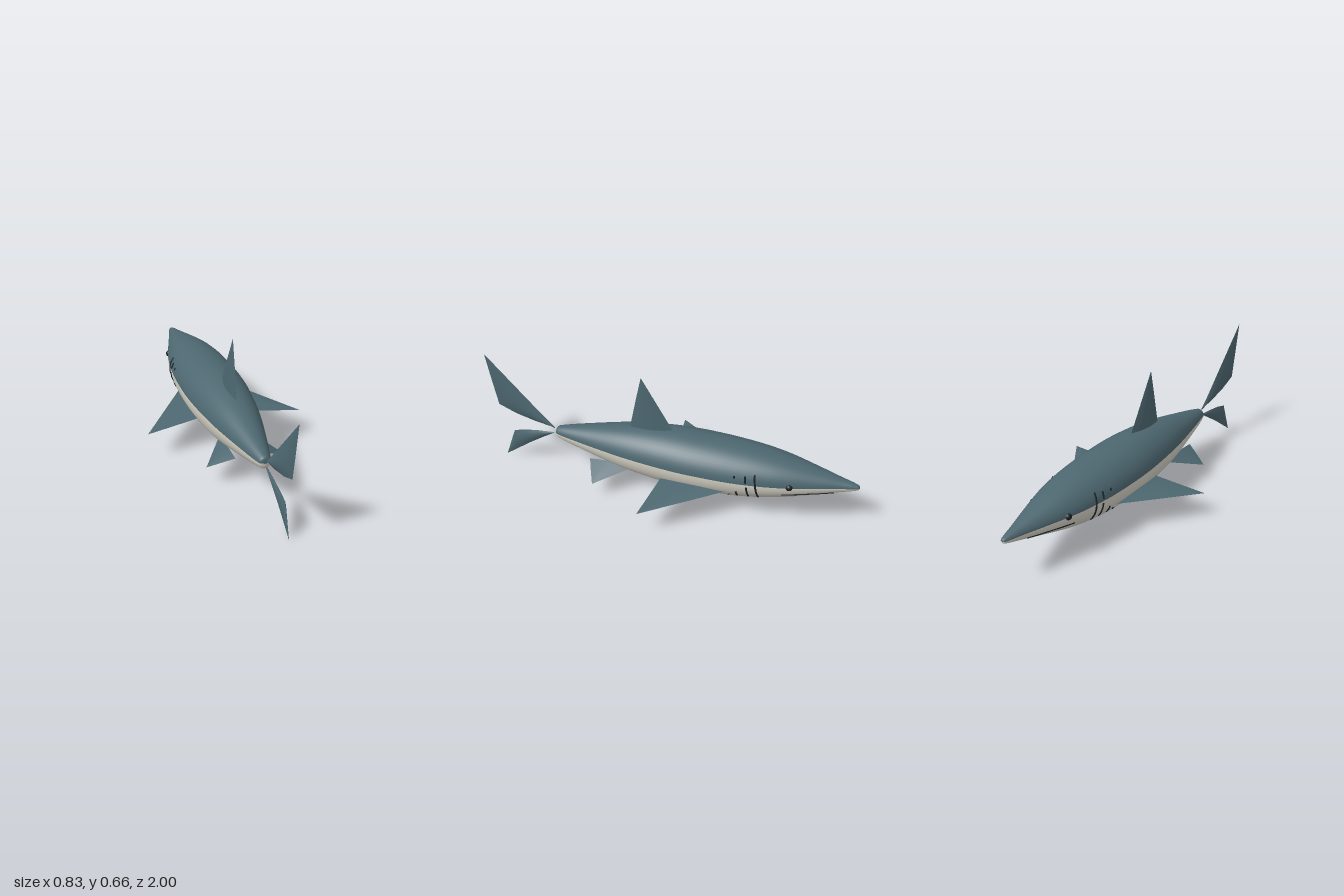
import * as THREE from 'three';

const slate = new THREE.MeshStandardMaterial({ color: 0x4d6770, side: THREE.DoubleSide });
slate.name = 'slate back';
const cream = new THREE.MeshStandardMaterial({ color: 0xd0cdc0 });
cream.name = 'pale belly';
const dark = new THREE.MeshStandardMaterial({ color: 0x1a2226 });
dark.name = 'dark detail';

const V = (x, y, z) => new THREE.Vector3(x, y, z);

// Body profile from nose to tail: z, half width, half height
const profile = new THREE.CatmullRomCurve3([
  [-1, 0.001, 0.001], [-0.995, 0.012, 0.011], [-0.97, 0.022, 0.02], [-0.9, 0.042, 0.038],
  [-0.8, 0.074, 0.064], [-0.6, 0.13, 0.112], [-0.4, 0.158, 0.14], [-0.15, 0.165, 0.15],
  [0, 0.155, 0.146], [0.2, 0.128, 0.124], [0.4, 0.085, 0.083], [0.59, 0.036, 0.037],
  [0.612, 0.026, 0.028], [0.62, 0.001, 0.001],
].map(p => V(...p)), false, 'centripetal');
const rings = profile.getPoints(91);
const midY = z => 0.225 + 0.015 * Math.max(0, (-z - 0.4) / 0.6);

// Point on the side of the body at a given height
function onSkin(side, y, z) {
  const i = Math.max(1, rings.findIndex(r => r.x >= z));
  const a = rings[i - 1], b = rings[i];
  const r = a.clone().lerp(b, (z - a.x) / (b.x - a.x));
  const s = Math.min(1, Math.abs(y - midY(z)) / r.z);
  return V(side * r.y * Math.sqrt(1 - s * s), y, z);
}

// Body loft: the two colours meet just above the mid line
function bodyGeometry() {
  const half = 24, n = half * 2, a0 = 0.09;
  const pos = [], upper = [], lower = [];
  for (const r of rings) {
    for (let j = 0; j < n; j++) {
      const t = j < half
        ? a0 + (j / half) * (Math.PI - 2 * a0)
        : Math.PI - a0 + ((j - half) / half) * (Math.PI + 2 * a0);
      pos.push(r.y * Math.cos(t), midY(r.x) + r.z * Math.sin(t), r.x);
    }
  }
  for (let i = 0; i < rings.length - 1; i++) {
    for (let j = 0; j < n; j++) {
      const a = i * n + j, b = i * n + (j + 1) % n;
      (j < half ? upper : lower).push(a, b, a + n, b, b + n, a + n);
    }
  }
  const g = new THREE.BufferGeometry();
  g.setAttribute('position', new THREE.Float32BufferAttribute(pos, 3));
  g.setIndex([...upper, ...lower]);
  g.addGroup(0, upper.length, 0);
  g.addGroup(upper.length, lower.length, 1);
  g.computeVertexNormals();
  return g;
}

// Fin: lens-shaped sections between a leading and a trailing edge
function fin(name, lead, trail, thick, normal) {
  const cols = 10, pos = [], idx = [];
  for (const side of [1, -1]) {
    const base = pos.length / 3;
    lead.forEach((l, i) => {
      for (let k = 0; k <= cols; k++) {
        const u = k / cols;
        const p = l.clone().lerp(trail[i], u)
          .addScaledVector(normal, side * thick[i] * Math.sin(Math.PI * u));
        pos.push(p.x, p.y, p.z);
        if (i < lead.length - 1 && k < cols) {
          const a = base + i * (cols + 1) + k, b = a + 1, c = a + cols + 1, d = c + 1;
          if (side > 0) idx.push(a, b, c, b, d, c);
          else idx.push(a, c, b, b, c, d);
        }
      }
    });
  }
  const g = new THREE.BufferGeometry();
  g.setAttribute('position', new THREE.Float32BufferAttribute(pos, 3));
  g.setIndex(idx);
  g.computeVertexNormals();
  const m = new THREE.Mesh(g, slate);
  m.name = name;
  return m;
}

// Thin dark line following the skin from one (y, z) to another
function skinLine(name, side, y0, z0, y1, z1, radius) {
  const pts = [];
  for (let i = 0; i <= 8; i++) {
    const t = i / 8;
    pts.push(onSkin(side, y0 + (y1 - y0) * t, z0 + (z1 - z0) * t));
  }
  const m = new THREE.Mesh(
    new THREE.TubeGeometry(new THREE.CatmullRomCurve3(pts), 16, radius, 6), dark);
  m.name = name;
  return m;
}

export function createModel() {
  const model = new THREE.Group();
  model.name = 'shark';

  const body = new THREE.Mesh(bodyGeometry(), [slate, cream]);
  body.name = 'body';
  model.add(body);

  // Upright fins on the centre line
  const across = V(1, 0, 0);
  model.add(fin('dorsalFin',
    [V(0, 0.335, -0.05), V(0, 0.37, -0.03), V(0, 0.515, 0.055), V(0, 0.66, 0.14)],
    [V(0, 0.335, 0.202), V(0, 0.37, 0.198), V(0, 0.515, 0.17), V(0, 0.66, 0.14)],
    [0.019, 0.018, 0.012, 0], across));
  model.add(fin('upperTailFin',
    [V(0, 0.243, 0.63), V(0, 0.31, 0.695), V(0, 0.39, 0.77), V(0, 0.475, 0.85), V(0, 0.555, 0.925), V(0, 0.635, 1)],
    [V(0, 0.243, 0.63), V(0, 0.262, 0.74), V(0, 0.29, 0.85), V(0, 0.33, 0.945), V(0, 0.48, 0.973), V(0, 0.635, 1)],
    [0.004, 0.011, 0.013, 0.012, 0.007, 0], across));
  model.add(fin('lowerTailFin',
    [V(0, 0.212, 0.63), V(0, 0.16, 0.71), V(0, 0.105, 0.79), V(0, 0.052, 0.86), V(0, 0, 0.93)],
    [V(0, 0.212, 0.63), V(0, 0.203, 0.73), V(0, 0.19, 0.81), V(0, 0.172, 0.87), V(0, 0, 0.93)],
    [0.003, 0.009, 0.011, 0.009, 0], across));

  // Paired fins and face details
  for (const [label, s] of [['left', 1], ['right', -1]]) {
    model.add(fin(label + 'PectoralFin',
      [V(s * 0.125, 0.167, -0.375), V(s * 0.27, 0.153, -0.173), V(s * 0.415, 0.14, 0.03)],
      [V(s * 0.125, 0.167, -0.01), V(s * 0.27, 0.153, 0.01), V(s * 0.415, 0.14, 0.03)],
      [0.013, 0.008, 0], V(0.05 * s, 1, 0).normalize()));
    model.add(fin(label + 'PelvicFin',
      [V(s * 0.075, 0.146, 0.16), V(s * 0.14, 0.117, 0.253), V(s * 0.205, 0.087, 0.347)],
      [V(s * 0.075, 0.146, 0.405), V(s * 0.14, 0.117, 0.377), V(s * 0.205, 0.087, 0.347)],
      [0.012, 0.007, 0], V(0.41 * s, 0.91, 0)));

    const eye = new THREE.Mesh(new THREE.SphereGeometry(0.018, 20, 14), dark);
    eye.name = label + 'Eye';
    eye.position.copy(onSkin(s * 0.94, 0.242, -0.665));
    model.add(eye);

    model.add(skinLine(label + 'Mouth', s, 0.193, -0.63, 0.21, -0.88, 0.004));

    // Gill slits, partly sunk into the skin
    [[0.295, -0.493, 0.155, -0.515], [0.285, -0.447, 0.25, -0.452], [0.23, -0.457, 0.155, -0.467],
      [0.28, -0.393, 0.268, -0.395], [0.19, -0.405, 0.15, -0.411], [0.157, -0.365, 0.147, -0.367]]
      .forEach((g, i) => model.add(skinLine(label + 'GillSlit' + (i + 1), s, ...g, 0.005)));
  }
  return model;
}
